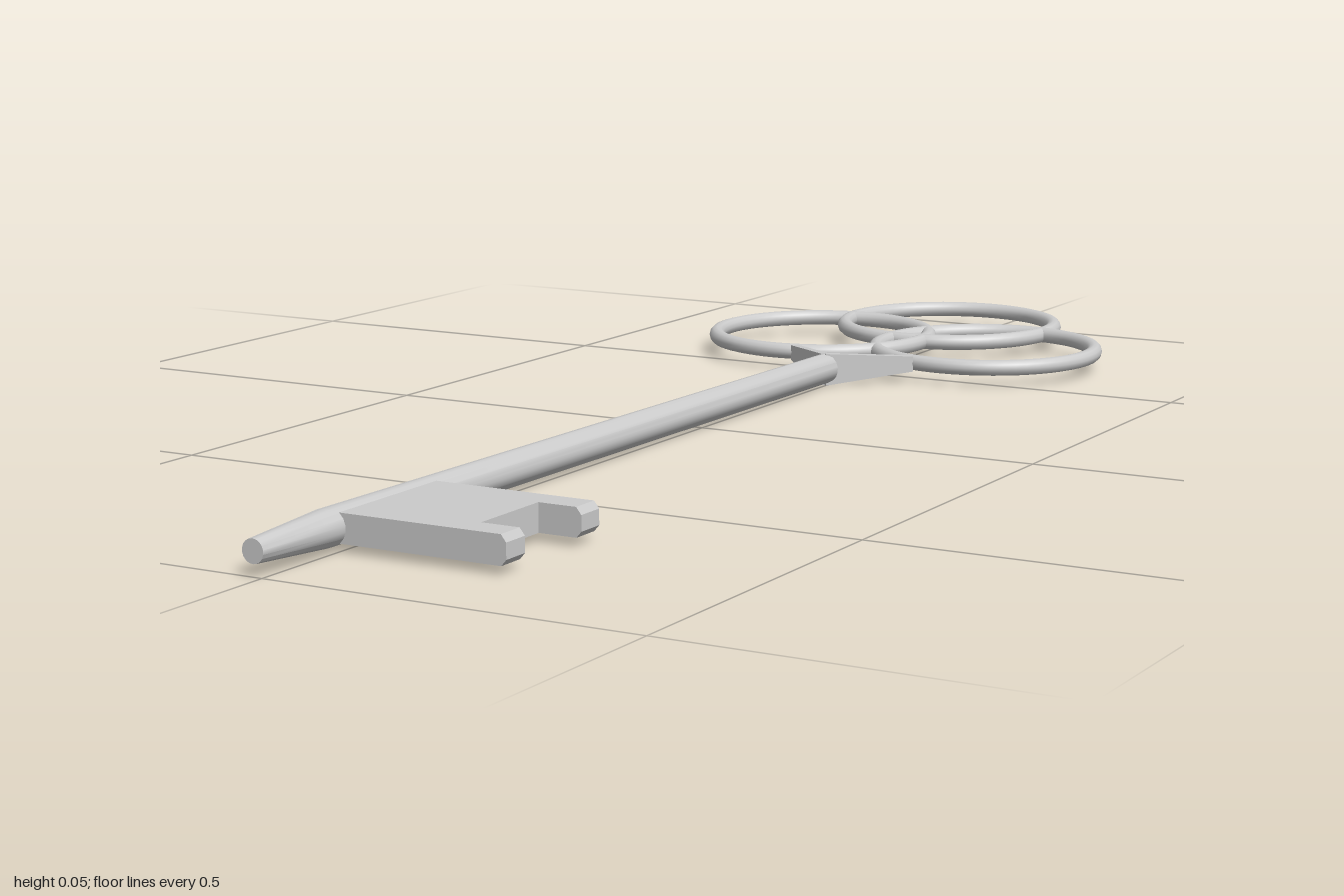
import * as THREE from 'three';
import { toCreasedNormals } from 'three/addons/utils/BufferGeometryUtils.js';

export function createModel() {
  const group = new THREE.Group();
  const material = new THREE.MeshStandardMaterial({ color: 0xcccccc });
  const add = (name, geometry) => {
    const mesh = new THREE.Mesh(geometry, material);
    mesh.name = name;
    group.add(mesh);
    return mesh;
  };

  // Bow: three interlaced rings lying flat
  for (const [name, x, z] of [['backRing', -0.005, -0.82], ['leftRing', 0.14, -0.64], ['rightRing', -0.142, -0.64]]) {
    const ring = add(name, new THREE.TorusGeometry(0.168, 0.012, 12, 64).rotateX(Math.PI / 2));
    ring.position.set(x, 0.03, z);
  }

  // Shaft: round rod along z with a tapered tip, leaning very slightly
  const profile = [[0, -0.38], [0.022, -0.38], [0.0235, 0.87], [0.015, 1], [0, 1]].map(([r, z]) => new THREE.Vector2(r, z));
  const rod = new THREE.LatheGeometry(profile, 18).rotateX(Math.PI / 2);
  const p = rod.attributes.position;
  for (let i = 0; i < p.count; i++) {
    const t = (p.getZ(i) + 0.38) / 1.38;
    p.setX(i, p.getX(i) - 0.004 - 0.008 * t);
    p.setY(i, p.getY(i) + 0.027 + 0.005 * t);
  }
  add('shaft', toCreasedNormals(rod, 0.5));

  // Struts: thin blades joining shaft and rings, tall at the shaft
  for (const side of [1, -1]) {
    const start = new THREE.Vector3(-0.003, 0, -0.378);
    const end = new THREE.Vector3(-0.003 + side * 0.1, 0, -0.47);
    const blade = new THREE.BoxGeometry(0.012, 1, start.distanceTo(end));
    const b = blade.attributes.position;
    for (let i = 0; i < b.count; i++) {
      const top = b.getY(i) > 0;
      const atRing = b.getZ(i) > 0;
      b.setY(i, atRing ? (top ? 0.041 : 0.018) : (top ? 0.05 : 0.002));
    }
    blade.computeVertexNormals();
    const strut = add(side > 0 ? 'leftStrut' : 'rightStrut', blade);
    strut.position.copy(start).add(end).multiplyScalar(0.5);
    strut.rotation.y = Math.atan2(end.x - start.x, end.z - start.z);
  }

  // Bit: flat plate with two teeth whose tips are chamfered
  const slab = (name, outline, z0, z1) => {
    const shape = new THREE.Shape(outline.map(([x, y]) => new THREE.Vector2(x, y)));
    const geometry = new THREE.ExtrudeGeometry(shape, { depth: z1 - z0, bevelEnabled: false });
    add(name, geometry.translate(0, 0, z0));
  };
  const tooth = [[-0.008, 0.013], [0.226, 0.013], [0.233, 0.021], [0.233, 0.041], [0.226, 0.05], [-0.008, 0.05]];
  slab('backTooth', tooth, 0.657, 0.697);
  slab('bitPlate', [[-0.008, 0.013], [0.174, 0.013], [0.174, 0.05], [-0.008, 0.05]], 0.697, 0.818);
  slab('frontTooth', tooth, 0.818, 0.857);

  return group;
}
